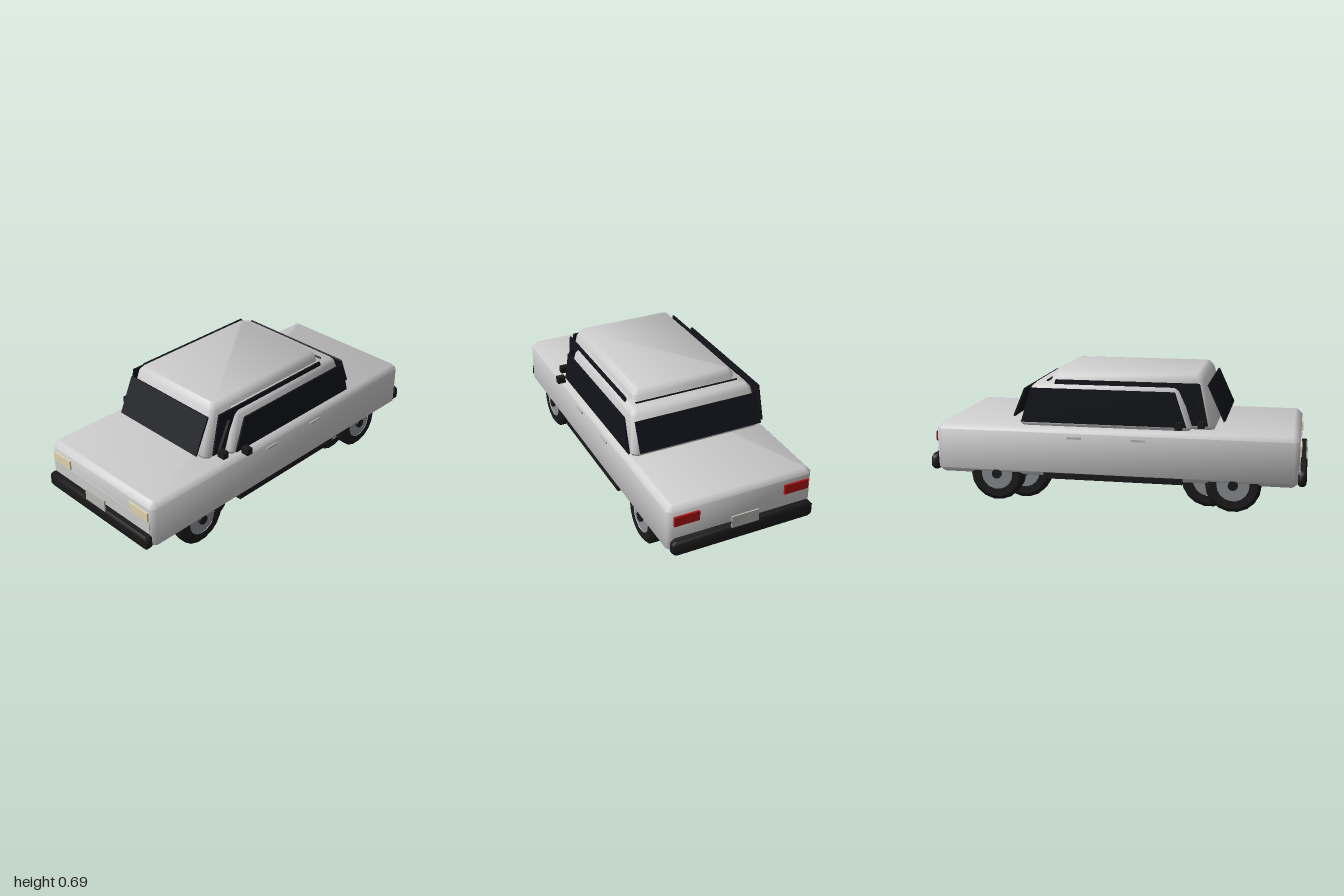
import * as THREE from 'three';
import { toCreasedNormals } from 'three/addons/utils/BufferGeometryUtils.js';

const mat = (color) => new THREE.MeshStandardMaterial({ color });
const paint = mat(0xcccccc);
const glass = mat(0x12141a);
const rubber = mat(0x1a1a1a);
const chrome = mat(0xb8bab4);
const lampCream = mat(0xe0d3ae);
const lampRed = mat(0xb01515);

// Stack of chamfered rectangles: each level is [y, halfWidth, zBack, zFront, cornerCut]
function hull(levels) {
  const pos = [], index = [];
  for (const [y, w, b, f, c] of levels) {
    const ring = [[w, f - c], [w, b + c], [w - c, b], [c - w, b], [-w, b + c], [-w, f - c], [c - w, f], [w - c, f]];
    for (const [x, z] of ring) pos.push(x, y, z);
  }
  for (let l = 0; l < levels.length - 1; l++) {
    for (let i = 0; i < 8; i++) {
      const a = l * 8 + i, b = l * 8 + (i + 1) % 8;
      index.push(a, b, b + 8, a, b + 8, a + 8);
    }
  }
  const top = (levels.length - 1) * 8;
  for (let i = 1; i < 7; i++) {
    index.push(0, i + 1, i);
    index.push(top, top + i, top + i + 1);
  }
  const geo = new THREE.BufferGeometry();
  geo.setAttribute('position', new THREE.Float32BufferAttribute(pos, 3));
  geo.setIndex(index);
  return toCreasedNormals(geo, 0.9);
}

// Flat side pane: outline in (z, y), thin along x
function sidePane(points, x) {
  const shape = new THREE.Shape(points.map(([z, y]) => new THREE.Vector2(-z, y)));
  const geo = new THREE.ExtrudeGeometry(shape, { depth: 0.01, bevelEnabled: false });
  geo.translate(0, 0, -0.005).rotateY(Math.PI / 2);
  return geo.translate(x, 0, 0);
}

// Leaning pane spanning the width between a bottom and a top edge
function endPane(halfWidth, y0, z0, y1, z1) {
  const geo = new THREE.BoxGeometry(halfWidth * 2, Math.hypot(y1 - y0, z1 - z0), 0.01);
  geo.rotateX(Math.atan2(z1 - z0, y1 - y0));
  return geo.translate(0, (y0 + y1) / 2, (z0 + z1) / 2);
}

function makeWheel() {
  const wheel = new THREE.Group();
  const profile = [[0.085, -0.036], [0.125, -0.038], [0.145, -0.024], [0.145, 0.024], [0.125, 0.038], [0.085, 0.036]];
  const tyreGeo = new THREE.LatheGeometry(profile.map(([r, y]) => new THREE.Vector2(r, y)), 18);
  const parts = [
    ['tyre', toCreasedNormals(tyreGeo, 0.5), rubber],
    ['rim', new THREE.CylinderGeometry(0.086, 0.086, 0.066, 18), mat(0x8c8f94)],
    ['hub', new THREE.CylinderGeometry(0.026, 0.026, 0.094, 12), rubber],
  ];
  for (const [name, geo, material] of parts) {
    const mesh = new THREE.Mesh(geo.rotateZ(Math.PI / 2), material);
    mesh.name = name;
    wheel.add(mesh);
  }
  return wheel;
}

export function createModel() {
  const car = new THREE.Group();
  car.name = 'car';
  const add = (name, geo, material) => {
    const mesh = new THREE.Mesh(geo, material);
    mesh.name = name;
    car.add(mesh);
    return mesh;
  };
  const box = (name, material, x, y, z, w, h, d) =>
    add(name, new THREE.BoxGeometry(w, h, d).translate(x, y, z), material);

  // Lower body with bevelled edges
  add('body', hull([
    [0.145, 0.375, -0.935, 0.935, 0.012],
    [0.17, 0.4, -0.96, 0.962, 0.025],
    [0.383, 0.4, -0.96, 0.962, 0.025],
    [0.41, 0.375, -0.935, 0.935, 0.012],
  ]), paint);
  box('frontPanel', paint, 0, 0.235, 0.96, 0.75, 0.14, 0.012);

  // Tall narrow cabin and its glass
  add('upperCabin', hull([
    [0.413, 0.305, -0.4, 0.52, 0.02],
    [0.428, 0.315, -0.41, 0.525, 0.025],
    [0.665, 0.289, -0.345, 0.46, 0.025],
    [0.695, 0.265, -0.32, 0.435, 0.015],
  ]), paint);
  add('upperWindscreen', endPane(0.29, 0.455, 0.572, 0.645, 0.485), glass);
  add('upperRearWindow', endPane(0.29, 0.455, -0.455, 0.645, -0.365), glass);

  // Lower wide cabin and its glass
  add('lowerCabin', hull([
    [0.413, 0.36, -0.495, 0.4, 0.02],
    [0.428, 0.37, -0.505, 0.41, 0.025],
    [0.615, 0.342, -0.447, 0.35, 0.025],
    [0.64, 0.322, -0.42, 0.325, 0.015],
  ]), paint);
  add('lowerWindscreen', endPane(0.345, 0.455, 0.455, 0.605, 0.385), glass);
  add('lowerRearWindow', endPane(0.345, 0.455, -0.54, 0.605, -0.478), glass);

  // Bumpers, plates
  for (const s of [1, -1]) {
    const bumper = hull([
      [0.153, 0.375, -0.015, 0.015, 0.008],
      [0.17, 0.39, -0.023, 0.023, 0.012],
      [0.217, 0.39, -0.023, 0.023, 0.012],
      [0.234, 0.375, -0.015, 0.015, 0.008],
    ]);
    add(s > 0 ? 'frontBumper' : 'rearBumper', bumper.translate(0, 0, s * 0.977), rubber);
    box(s > 0 ? 'frontPlate' : 'rearPlate', chrome, 0, 0.258, s * 0.996, 0.15, 0.066, 0.008);
  }

  // Everything mirrored left and right
  for (const s of [1, -1]) {
    const side = s > 0 ? 'left' : 'right';
    add(side + 'UpperWindow', sidePane([[0.49, 0.435], [0.445, 0.655], [-0.315, 0.655], [-0.375, 0.435]], s * 0.324), glass);
    add(side + 'LowerWindow', sidePane([[0.385, 0.435], [0.325, 0.617], [-0.435, 0.617], [-0.49, 0.435]], s * 0.384), glass);
    box(side + 'Headlight', lampCream, s * 0.302, 0.333, 0.96, 0.135, 0.052, 0.022);
    box(side + 'TailLight', lampRed, s * 0.302, 0.333, -0.96, 0.135, 0.052, 0.022);
    box(side + 'OuterMirror', rubber, s * 0.428, 0.452, 0.352, 0.044, 0.036, 0.034);
    box(side + 'InnerMirror', rubber, s * 0.368, 0.452, 0.46, 0.044, 0.036, 0.034);
    box(side + 'Sill', rubber, s * 0.383, 0.152, 0, 0.035, 0.032, 0.74);
    for (const z of [0.138, -0.203]) box(side + 'DoorHandle', chrome, s * 0.4, 0.36, z, 0.014, 0.012, 0.074);

    // Staggered wheel pair at each corner
    for (const end of [1, -1]) {
      for (const [x, z, name] of [[0.352, 0.63, 'OuterWheel'], [0.278, 0.5, 'InnerWheel']]) {
        const wheel = makeWheel();
        wheel.name = side + (end > 0 ? 'Front' : 'Rear') + name;
        wheel.position.set(s * x, 0.145, end * z);
        car.add(wheel);
      }
    }
  }
  return car;
}
